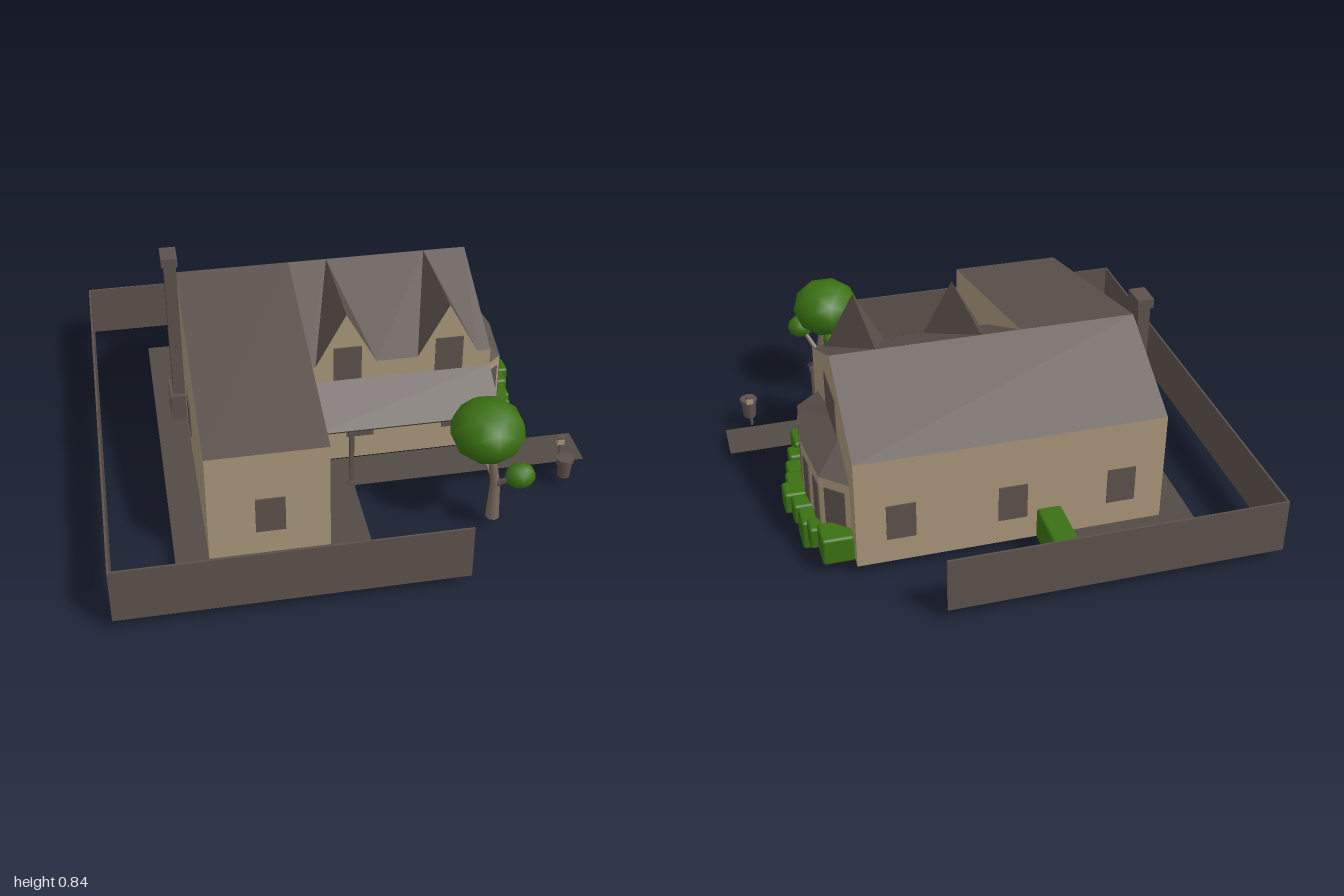
import * as THREE from 'three';
import { RoundedBoxGeometry } from 'three/addons/geometries/RoundedBoxGeometry.js';

const mat = (name, color, side = THREE.FrontSide) => {
  const m = new THREE.MeshStandardMaterial({ color, side });
  m.name = name;
  return m;
};

export function createModel() {
  const plaster = mat('plaster', 0xa8957a, THREE.DoubleSide);
  const slate = mat('slate', 0x5c514c, THREE.DoubleSide);
  const paving = mat('paving', 0x534b45, THREE.DoubleSide);
  const leaf = mat('leaf', 0x3a7012);
  const doorRed = mat('doorRed', 0x984623);
  const bark = mat('bark', 0x75675a);

  const model = new THREE.Group();
  const G = 0.05; // ground level
  const EAVE = 0.52, RIDGE = 0.75, RIDGE_Z = -0.26;
  const LEFT = -0.62, STEP = -0.15, RIGHT = 0.61;
  const BACK = -0.67, FRONT = 0.2, WING = 0.73;

  const add = (name, geo, material, x = 0, y = 0, z = 0, parent = model) => {
    const m = new THREE.Mesh(geo, material);
    m.name = name;
    m.position.set(x, y, z);
    parent.add(m);
    return m;
  };
  const group = (name) => {
    const g = new THREE.Group();
    g.name = name;
    model.add(g);
    return g;
  };
  // box given by its limits
  const block = (name, material, x0, x1, y0, y1, z0, z1, parent = model, round = 0) => {
    const s = [x1 - x0, y1 - y0, z1 - z0];
    const geo = round ? new RoundedBoxGeometry(...s, 2, round) : new THREE.BoxGeometry(...s);
    return add(name, geo, material, (x0 + x1) / 2, (y0 + y1) / 2, (z0 + z1) / 2, parent);
  };
  // flat convex face through 3D corners, counter-clockwise from outside
  const face = (name, material, pts, parent = model) => {
    const pos = [];
    for (let i = 1; i < pts.length - 1; i++) pos.push(...pts[0], ...pts[i], ...pts[i + 1]);
    const geo = new THREE.BufferGeometry();
    geo.setAttribute('position', new THREE.Float32BufferAttribute(pos, 3));
    geo.computeVertexNormals();
    return add(name, geo, material, 0, 0, 0, parent);
  };
  const outline = (pts) => new THREE.ShapeGeometry(new THREE.Shape(pts.map(p => new THREE.Vector2(...p))));
  // upright wall facing +x, corners as (z, y)
  const sideWall = (name, x, pts, parent) => {
    const m = add(name, outline(pts.map(([z, y]) => [-z, y])), plaster, x, 0, 0, parent);
    m.rotation.y = Math.PI / 2;
    return m;
  };
  // thin window or door plate
  const plate = (name, material, x, y, z, w, h, turn = 0) => {
    add(name, new THREE.BoxGeometry(w, h, 0.009), material, x, y, z).rotation.y = turn;
  };

  // house walls
  const walls = group('houseWalls');
  const dormers = [0.01, 0.43], HALF = 0.125;
  const frontPts = [[STEP, G], [RIGHT, G], [RIGHT, EAVE]];
  for (const c of [...dormers].reverse()) frontPts.push([c + HALF, EAVE], [c, RIDGE], [c - HALF, EAVE]);
  frontPts.push([STEP, EAVE]);
  add('frontWall', outline(frontPts), plaster, 0, 0, FRONT, walls);
  face('backWall', plaster, [[RIGHT, G, BACK], [LEFT, G, BACK], [LEFT, EAVE, BACK], [RIGHT, EAVE, BACK]], walls);
  face('wingFrontWall', plaster, [[LEFT, G, WING], [STEP, G, WING], [STEP, EAVE, WING], [LEFT, EAVE, WING]], walls);
  sideWall('rightGable', RIGHT, [[FRONT, G], [BACK, G], [BACK, EAVE], [RIDGE_Z, RIDGE], [FRONT, EAVE]], walls);
  sideWall('leftGable', LEFT, [[WING, G], [BACK, G], [BACK, EAVE], [RIDGE_Z, RIDGE], [WING, EAVE]], walls);
  sideWall('wingSideWall', STEP, [[WING, G], [FRONT, G], [FRONT, EAVE], [RIDGE_Z, RIDGE], [WING, EAVE]], walls);

  // roof slopes
  const roof = group('roof');
  face('backRoof', slate, [[RIGHT, EAVE, BACK], [LEFT, EAVE, BACK], [LEFT, RIDGE, RIDGE_Z], [RIGHT, RIDGE, RIDGE_Z]], roof);
  face('wingRoof', slate, [[LEFT, EAVE, WING], [STEP, EAVE, WING], [STEP, RIDGE, RIDGE_Z], [LEFT, RIDGE, RIDGE_Z]], roof);
  const ridgeX = [STEP, ...dormers, RIGHT];
  for (let i = 0; i < 3; i++) {
    const e0 = i === 0 ? STEP : ridgeX[i] + HALF;
    const e1 = i === 2 ? RIGHT : ridgeX[i + 1] - HALF;
    face('frontRoof', slate, [[e0, EAVE, FRONT], [e1, EAVE, FRONT],
      [ridgeX[i + 1], RIDGE, RIDGE_Z], [ridgeX[i], RIDGE, RIDGE_Z]], roof);
  }
  for (const c of dormers) {
    const peak = [c, RIDGE, FRONT], back = [c, RIDGE, RIDGE_Z];
    face('dormerRoofLeft', slate, [[c + HALF, EAVE, FRONT], back, peak], roof);
    face('dormerRoofRight', slate, [[c - HALF, EAVE, FRONT], peak, back], roof);
  }

  // windows and door
  const W = 0.115, H = 0.155, WY = 0.235, Q = Math.PI / 2;
  for (const x of [0.015, 0.435]) plate('dormerWindow', slate, x, 0.515, FRONT, W, 0.17);
  for (const x of [0.07, 0.475]) plate('frontWindow', slate, x, WY, FRONT, W, H);
  for (const x of [-0.445, -0.005, 0.435]) plate('backWindow', slate, x, WY, BACK, W, H);
  for (const z of [-0.53, 0.03]) plate('leftWindow', slate, LEFT, WY, z, W, H, Q);
  plate('wingFrontWindow', slate, -0.38, WY, WING, W, H);
  plate('wingSideWindow', slate, STEP, WY, 0.54, W, H, Q);
  plate('gableWindow', slate, RIGHT, 0.52, -0.23, 0.225, 0.16, Q);
  plate('door', doorRed, STEP, 0.18, 0.287, 0.125, 0.26, Q);
  add('doorHandle', new THREE.SphereGeometry(0.006, 8, 6), slate, STEP + 0.01, 0.165, 0.34);

  // bay window with hipped roof
  const bay = [[RIGHT, 0.11], [0.712, 0.02], [0.74, -0.235], [0.712, -0.49], [RIGHT, -0.58]];
  const bayTop = [-0.12, -0.12, -0.235, -0.37, -0.37];
  const bayGroup = group('bayWindow');
  for (let i = 0; i < 4; i++) {
    const [xa, za] = bay[i], [xb, zb] = bay[i + 1];
    face('bayWall', plaster, [[xa, G, za], [xb, G, zb], [xb, 0.365, zb], [xa, 0.365, za]], bayGroup);
    face('bayRoof', slate, [[xa, 0.365, za], [xb, 0.365, zb],
      [RIGHT, 0.44, bayTop[i + 1]], [RIGHT, 0.44, bayTop[i]]], bayGroup);
    const mid = i === 1 || i === 2;
    const spots = i === 1 ? [0.18, 0.72] : i === 2 ? [0.28, 0.82] : [0.5];
    for (const t of spots) {
      plate('bayPane', slate, xa + (xb - xa) * t, 0.225, za + (zb - za) * t,
        mid ? 0.07 : 0.09, 0.2, Math.atan2(za - zb, xb - xa));
    }
  }

  // porch roof on two posts
  const porch = group('porch');
  const slope = Math.atan2(0.12, 0.185);
  add('porchRoof', new THREE.BoxGeometry(RIGHT - STEP, 0.012, 0.222), slate,
    (RIGHT + STEP) / 2, 0.385, 0.298, porch).rotation.x = slope;
  for (const x of [0, 0.59]) {
    block('porchPost', slate, x - 0.009, x + 0.009, G, 0.33, 0.367, 0.385, porch);
    block('postFoot', slate, x - 0.014, x + 0.014, 0.04, 0.065, 0.362, 0.39, porch);
    block('postHead', slate, x - 0.014, x + 0.014, 0.305, 0.325, 0.362, 0.39, porch);
  }

  // chimney
  const chimney = group('chimney');
  block('chimneyBase', slate, -0.685, LEFT, G, 0.17, -0.34, -0.2, chimney);
  block('chimneyShaft', slate, -0.67, LEFT, G, 0.81, -0.31, -0.22, chimney);
  block('chimneyCap', slate, -0.68, -0.613, 0.8, 0.84, -0.317, -0.213, chimney);

  // paved path around the house
  const path = add('path', outline([[-0.15, 0.8], [-0.75, 0.8], [-0.75, -0.86], [0.01, -0.86], [0.01, -0.39],
    [0.99, -0.39], [0.99, -0.205], [STEP, -0.205], [STEP, -WING], [LEFT, -WING], [LEFT, -BACK], [-0.15, -BACK]]),
    paving, 0, G, 0);
  path.rotation.x = -Q;

  // garden wall on three sides
  const fence = group('gardenWall');
  block('leftRun', slate, -1, -0.992, G, 0.28, -1, 1, fence);
  for (const z of [-1, 0.992]) block('endRun', slate, -1, 0.34, G, 0.28, z, z + 0.008, fence);

  // hedges: [z0, z1, outer x, bottom, top]
  const hedges = group('hedges');
  block('backHedge', leaf, -0.2, -0.1, G, 0.187, -0.995, BACK, hedges, 0.012);
  for (const [z0, z1, x, y0, y1] of [
    [0.035, 0.16, 0.735, G, 0.168], [-0.02, 0.06, 0.765, G, 0.145], [-0.14, -0.015, 0.785, 0, 0.128],
    [-0.195, -0.11, 0.8, G, 0.138], [-0.28, -0.185, 0.825, G, 0.145], [-0.355, -0.27, 0.8, G, 0.138],
    [-0.455, -0.33, 0.785, 0, 0.128], [-0.525, -0.445, 0.765, G, 0.145], [-0.635, -0.515, 0.735, G, 0.168],
  ]) block('bayHedge', leaf, x - 0.125, x, y0, y1, z0, z1, hedges, 0.012);

  // tree
  const tree = group('tree');
  const limb = (a, b, r0, r1) => {
    const p = new THREE.Vector3(...a), d = new THREE.Vector3(...b).sub(p);
    const m = add('limb', new THREE.CylinderGeometry(r1, r0, d.length(), 7), bark, 0, 0, 0, tree);
    m.position.copy(p).addScaledVector(d, 0.5);
    m.quaternion.setFromUnitVectors(new THREE.Vector3(0, 1, 0), d.normalize());
  };
  limb([0.51, G, 0.68], [0.515, 0.22, 0.67], 0.028, 0.02);
  limb([0.515, 0.21, 0.67], [0.49, 0.4, 0.65], 0.02, 0.014);
  limb([0.515, 0.2, 0.67], [0.58, 0.31, 0.76], 0.013, 0.008);
  limb([0.515, 0.22, 0.67], [0.47, 0.31, 0.61], 0.012, 0.007);
  for (const [x, y, z, a, b, c] of [[0.475, 0.457, 0.65, 0.147, 0.122, 0.155],
    [0.58, 0.31, 0.765, 0.06, 0.052, 0.052], [0.47, 0.308, 0.612, 0.034, 0.035, 0.036]]) {
    add('foliage', new THREE.IcosahedronGeometry(1, 1), leaf, x, y, z, tree).scale.set(a, b, c);
  }

  // tub and garden lamp beside the path
  add('tub', new THREE.CylinderGeometry(0.033, 0.026, 0.08, 8), slate, 0.872, 0.09, 0.48);
  add('tubRim', new THREE.CylinderGeometry(0.038, 0.038, 0.014, 8), slate, 0.872, 0.133, 0.48);
  const lamp = group('gardenLamp');
  add('lampPost', new THREE.CylinderGeometry(0.005, 0.007, 0.11, 8), slate, 0.872, 0.105, 0.408, lamp);
  block('lampHead', plaster, 0.857, 0.887, 0.16, 0.19, 0.397, 0.42, lamp);
  block('lampCap', slate, 0.853, 0.891, 0.19, 0.196, 0.393, 0.424, lamp);

  return model;
}
